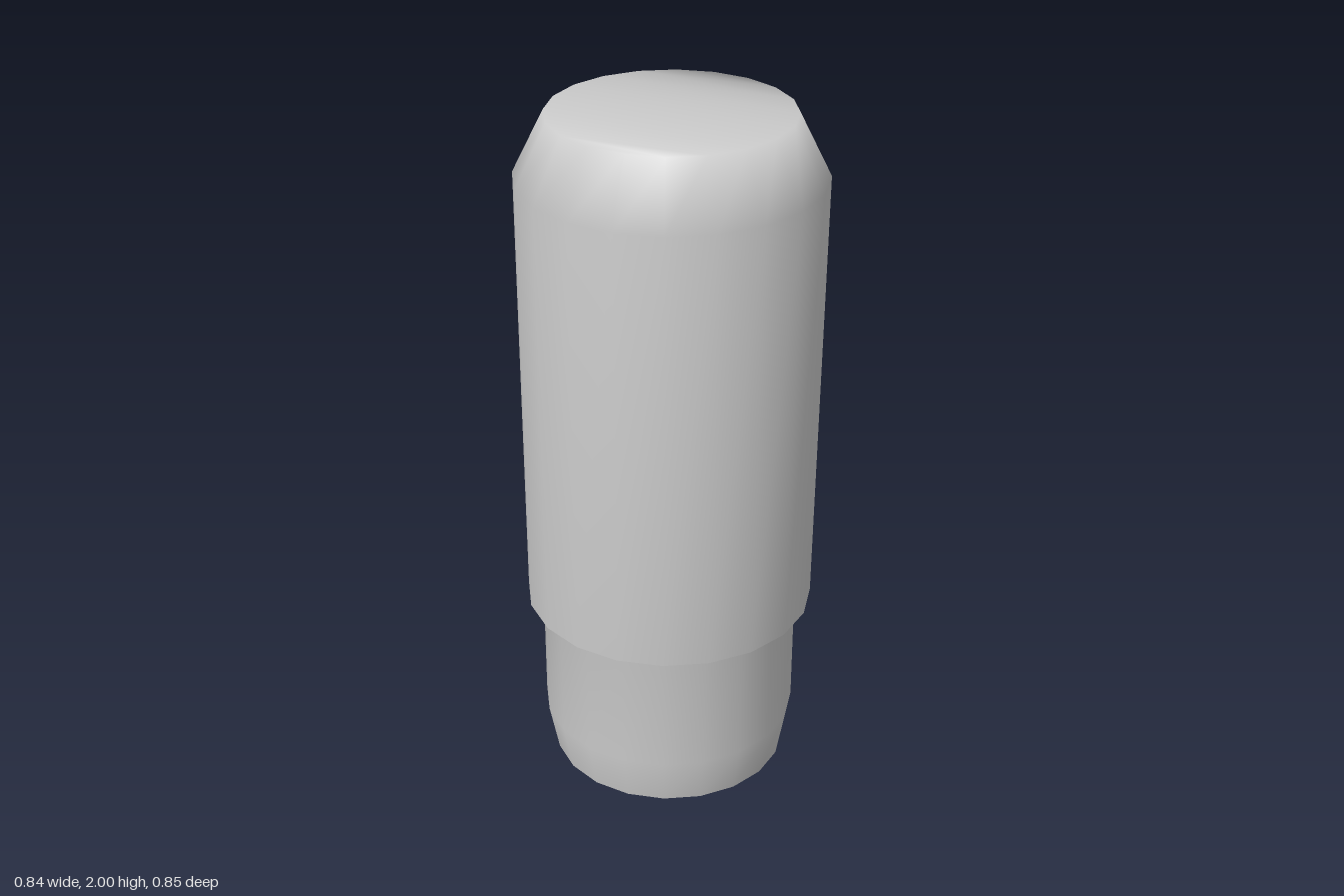
import * as THREE from 'three';

const SIDES = 20;

// Rings from bottom to top: height, radius, centre x, centre z, tilt (rise towards +z)
const RINGS = [
  [0.011, 0.345, -0.002, 0.014, 0.020],
  [0.16, 0.372, -0.003, 0.014, 0.012],
  [0.538, 0.372, -0.003, 0.012, 0.018],
  [0.538, 0.416, -0.002, 0.012, 0.018],
  [1.827, 0.422, 0, -0.003, -0.003],
  [2.0, 0.335, 0, -0.003, 0],
];

function ringPoints([y, r, cx, cz, tilt]) {
  const points = [];
  for (let i = 0; i < SIDES; i++) {
    const a = (i / SIDES) * Math.PI * 2;
    const dz = Math.cos(a) * r;
    points.push(cx + Math.sin(a) * r, y + dz * tilt, cz + dz);
  }
  return points;
}

// Zigzag strip of triangles that closes a ring without a centre point
function capIndices(start, up) {
  const index = [];
  let lo = 0, hi = SIDES - 1, low = true;
  while (hi - lo > 1) {
    const tri = low ? [lo, lo + 1, hi] : [lo, hi - 1, hi];
    if (!up) tri.reverse();
    index.push(...tri.map((i) => i + start));
    if (low) lo++; else hi--;
    low = !low;
  }
  return index;
}

function smoothGeometry(positions, index) {
  const g = new THREE.BufferGeometry();
  g.setAttribute('position', new THREE.Float32BufferAttribute(positions, 3));
  g.setIndex(index);
  g.computeVertexNormals();
  return g;
}

export function createModel() {
  const group = new THREE.Group();
  group.name = 'steppedPlug';
  const material = new THREE.MeshStandardMaterial({ color: 0xcccccc });

  // Stepped body: narrow foot, wide barrel, bevelled shoulder and top, smoothly shaded
  const index = [];
  for (let k = 0; k < RINGS.length - 1; k++) {
    for (let i = 0; i < SIDES; i++) {
      const j = (i + 1) % SIDES;
      const a = k * SIDES + i, b = k * SIDES + j;
      index.push(a, b, b + SIDES, a, b + SIDES, a + SIDES);
    }
  }
  index.push(...capIndices((RINGS.length - 1) * SIDES, true));
  const body = new THREE.Mesh(smoothGeometry(RINGS.flatMap(ringPoints), index), material);
  body.name = 'body';

  // Flat underside with its own hard edge
  const base = new THREE.Mesh(smoothGeometry(ringPoints(RINGS[0]), capIndices(0, false)), material);
  base.name = 'base';

  group.add(body, base);

  // Stand the model on the ground
  const box = new THREE.Box3().setFromObject(group);
  body.position.y = base.position.y = -box.min.y;
  return group;
}
